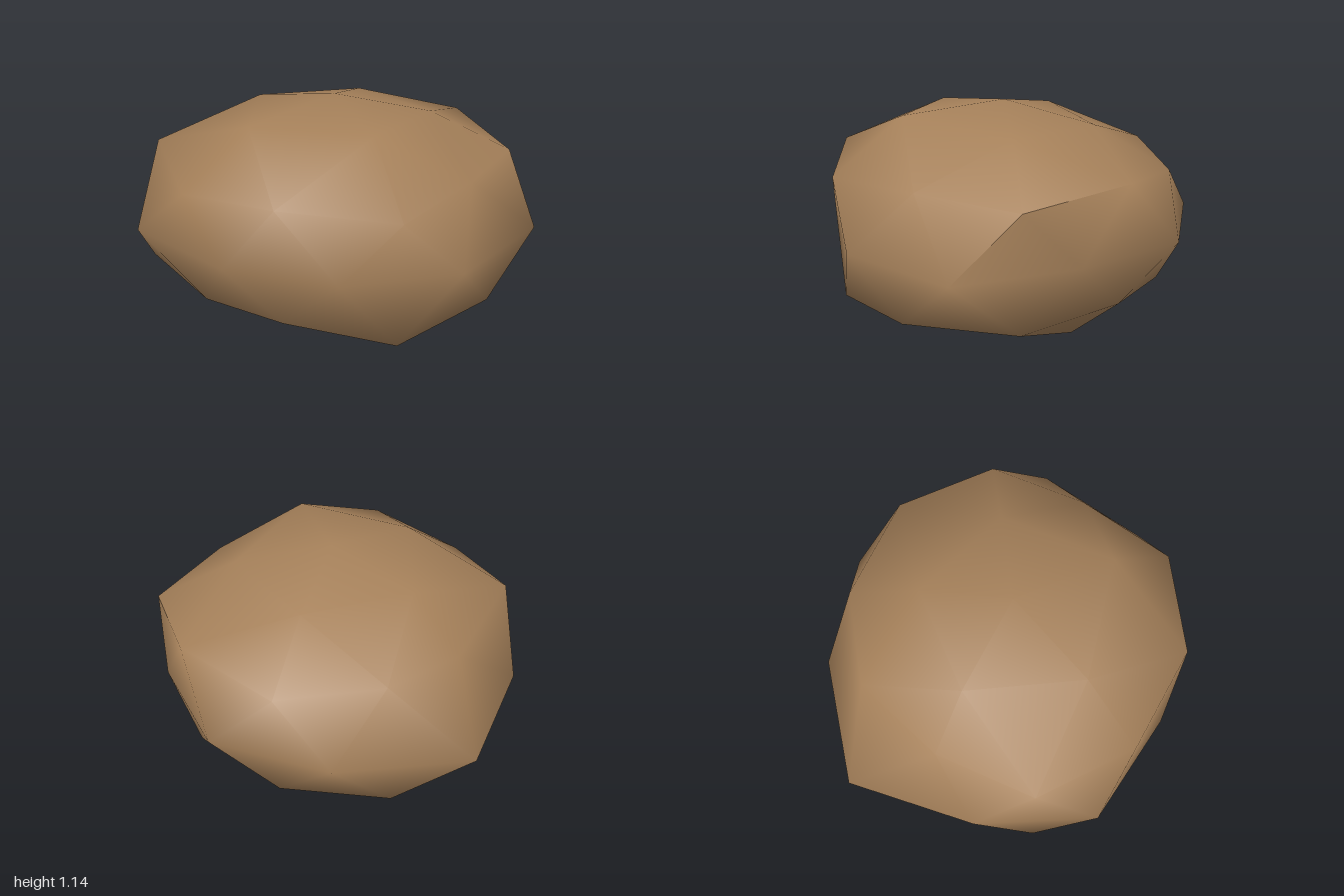
import * as THREE from 'three';

const CENTER = new THREE.Vector3(0.04, 0.56, 0.04);
const SQUASH = 0.636; // height relative to width
const CREASE = Math.cos(THREE.MathUtils.degToRad(50));

// Radius of each bump, ring by ring around a subdivided icosahedron
const equator = [1.01, 0.936, 0.86, 0.865, 1.0, 0.957, 1.094, 0.96, 0.95, 0.866];
const halves = [
  { sign: 1, start: 36, pole: 0.91,
    cap: [1.0, 0.945, 0.9, 0.87, 0.9],
    corner: [0.977, 0.95, 0.83, 0.93, 0.985],
    middle: [1.004, 1.03, 0.93, 1.0, 0.893] },
  { sign: -1, start: 0, pole: 0.88,
    cap: [0.825, 0.81, 0.94, 0.975, 0.965],
    corner: [0.984, 0.88, 1.064, 1.0, 0.9],
    middle: [1.0, 0.905, 0.89, 0.94, 0.95] },
];

// Point in a direction given by unit height and angle around y
function bump(height, degrees, radius) {
  const a = THREE.MathUtils.degToRad(degrees);
  const h = Math.sqrt(1 - height * height);
  return new THREE.Vector3(h * Math.cos(a), height * SQUASH, h * Math.sin(a)).multiplyScalar(radius);
}

function rockFaces() {
  const faces = [];
  const E = equator.map((r, i) => bump(0, -18 + 36 * i, r));
  for (const { sign, start, pole, cap, corner, middle } of halves) {
    const ring = (radii, height, offset) => radii.map((r, k) => bump(sign * height, start + offset + 72 * k, r));
    const P = bump(sign, 0, pole);
    const A = ring(cap, 0.8507, 0);
    const U = ring(corner, 0.4472, 0);
    const M = ring(middle, 0.5257, 36);
    for (let k = 0; k < 5; k++) {
      const n = (k + 1) % 5;
      const [e0, e1, e2] = [0, 1, 2].map((j) => E[(2 * k + j + start / 36) % 10]);
      faces.push([P, A[k], A[n]], [A[k], U[k], M[k]], [A[k], M[k], A[n]], [A[n], M[k], U[n]],
        [U[k], e0, e1], [U[k], e1, M[k]], [M[k], e1, e2], [M[k], e2, U[n]]);
    }
  }
  // Turn every face outward and store its normal
  return faces.map(([a, b, c]) => {
    const normal = b.clone().sub(a).cross(c.clone().sub(a)).normalize();
    const outward = normal.dot(a.clone().add(b).add(c)) > 0;
    return outward ? { pts: [a, b, c], normal } : { pts: [a, c, b], normal: normal.negate() };
  });
}

// Average normals around a point, stopping at sharp edges
function cornerNormal(faces, face, point) {
  const around = faces.filter((f) => f.pts.includes(point));
  const group = [face];
  for (const f of group) {
    for (const g of around) {
      const adjacent = f.pts.filter((p) => g.pts.includes(p)).length === 2;
      if (adjacent && !group.includes(g) && f.normal.dot(g.normal) > CREASE) group.push(g);
    }
  }
  return group.reduce((sum, f) => sum.add(f.normal), new THREE.Vector3()).normalize();
}

export function createModel() {
  const model = new THREE.Group();
  model.name = 'boulder';
  const stone = new THREE.MeshStandardMaterial({ color: 0xa6815a });
  stone.name = 'brown stone';

  const faces = rockFaces();
  const positions = [];
  const normals = [];
  for (const face of faces) {
    for (const p of face.pts) {
      positions.push(p.x + CENTER.x, p.y + CENTER.y, p.z + CENTER.z);
      normals.push(...cornerNormal(faces, face, p).toArray());
    }
  }
  const geometry = new THREE.BufferGeometry();
  geometry.setAttribute('position', new THREE.Float32BufferAttribute(positions, 3));
  geometry.setAttribute('normal', new THREE.Float32BufferAttribute(normals, 3));

  const rock = new THREE.Mesh(geometry, stone);
  rock.name = 'rock';
  model.add(rock);
  return model;
}
